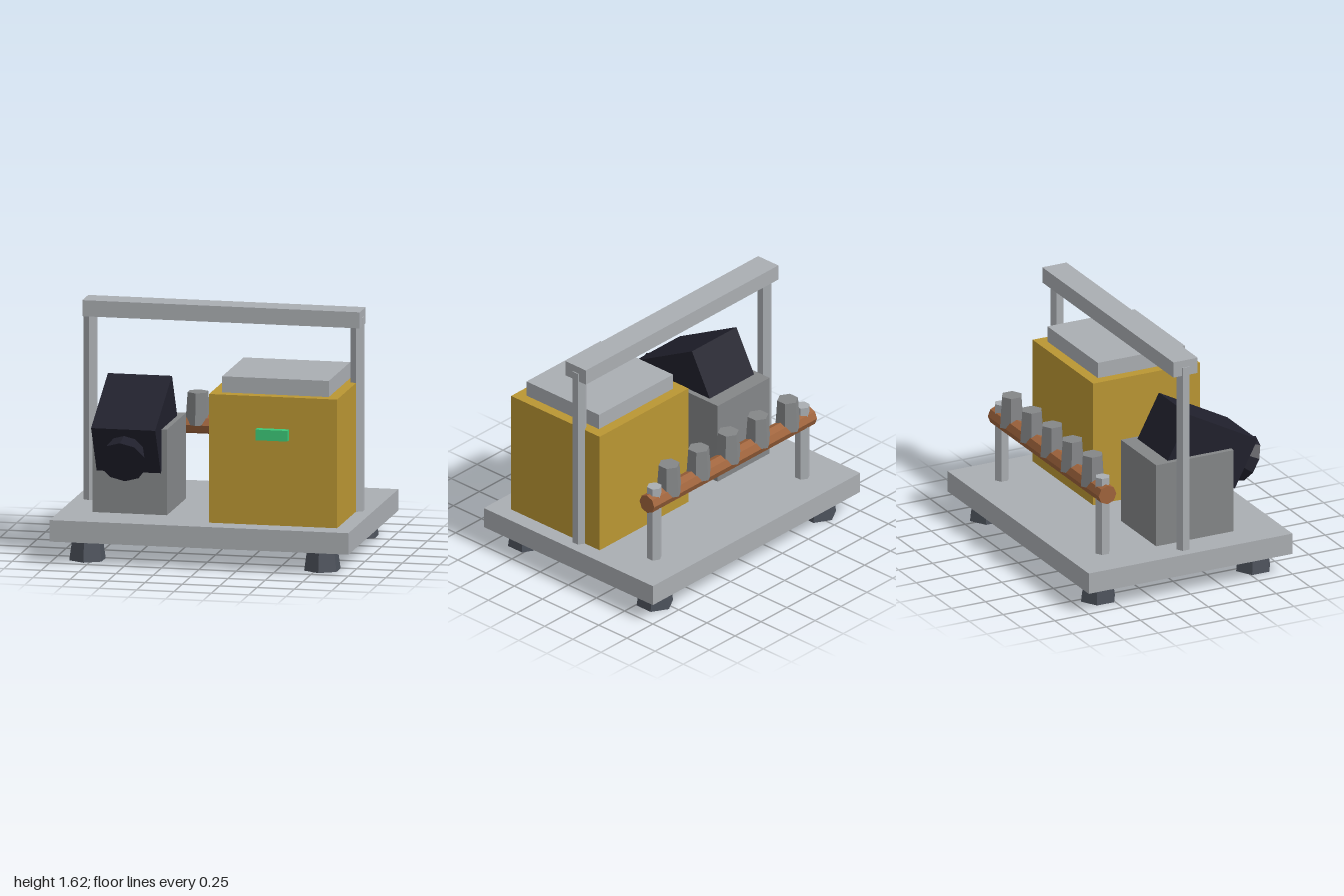
import * as THREE from 'three';

const material = (name, color) => {
  const m = new THREE.MeshStandardMaterial({ color, flatShading: true });
  m.name = name;
  return m;
};

export function createModel() {
  const steel = material('light steel', 0xaaaeb2);
  const grey = material('mid grey', 0x848688);
  const rubber = material('dark rubber', 0x4b505a);
  const ochre = material('ochre paint', 0xba9633);
  const black = material('blue black', 0x20202c);
  const copper = material('copper', 0xa0643c);
  const green = material('green light', 0x3cc878);

  const model = new THREE.Group();
  model.name = 'machine';

  const add = (name, geometry, mat, x, y, z, parent = model) => {
    const mesh = new THREE.Mesh(geometry, mat);
    mesh.name = name;
    mesh.position.set(x, y, z);
    parent.add(mesh);
    return mesh;
  };
  const box = (w, h, d) => new THREE.BoxGeometry(w, h, d);
  const prism = (top, bottom, h, sides = 6) => new THREE.CylinderGeometry(top, bottom, h, sides);

  // Base plate on four tapered feet
  add('basePlate', box(2, 0.143, 1.5), steel, 0, 0.214, 0);
  const foot = prism(0.104, 0.125, 0.145);
  for (const x of [-0.786, 0.786]) {
    for (const z of [-0.571, 0.571]) add('foot', foot, rubber, x, 0.0725, z);
  }

  // Carrying frame over the middle
  const framePost = prism(0.048, 0.048, 1.29);
  for (const x of [-0.893, 0.893]) add('framePost', framePost, steel, x, 0.93, 0);
  add('frameBar', box(1.857, 0.107, 0.179), steel, 0, 1.571, 0);

  // Main cabinet with lid and indicator
  add('cabinet', box(0.857, 0.857, 0.786), ochre, 0.464, 0.7145, 0.214);
  add('cabinetLid', box(0.714, 0.107, 0.643), steel, 0.464, 1.1965, 0.214);
  add('indicator', box(0.214, 0.071, 0.071), green, 0.464, 0.895, 0.625);

  // Pedestal carrying a tilted head with a flared snout
  add('pedestal', box(0.5, 0.571, 0.571), grey, -0.536, 0.5715, 0.143);
  const head = new THREE.Group();
  head.name = 'tiltedHead';
  head.position.set(-0.536, 0.861, 0.287);
  head.rotation.x = THREE.MathUtils.degToRad(28);
  model.add(head);
  add('headBox', box(0.429, 0.357, 0.571), black, 0, 0, 0, head);
  const snout = add('snout', prism(0.16, 0.122, 0.125, 10), black, 0, 0, 0.343, head);
  snout.rotation.x = Math.PI / 2;

  // Rear copper rail on two posts, with a row of insulators
  const rail = add('rail', prism(0.065, 0.065, 1.571, 8), copper, 0, 0.715, -0.5);
  rail.rotation.z = Math.PI / 2;
  const railPost = prism(0.05, 0.05, 0.536);
  for (const x of [-0.714, 0.714]) add('railPost', railPost, steel, x, 0.554, -0.5);
  const insulator = prism(0.071, 0.086, 0.214);
  for (let i = -2; i <= 2; i++) add('insulator', insulator, grey, i * 0.286, 0.822, -0.5);

  return model;
}
